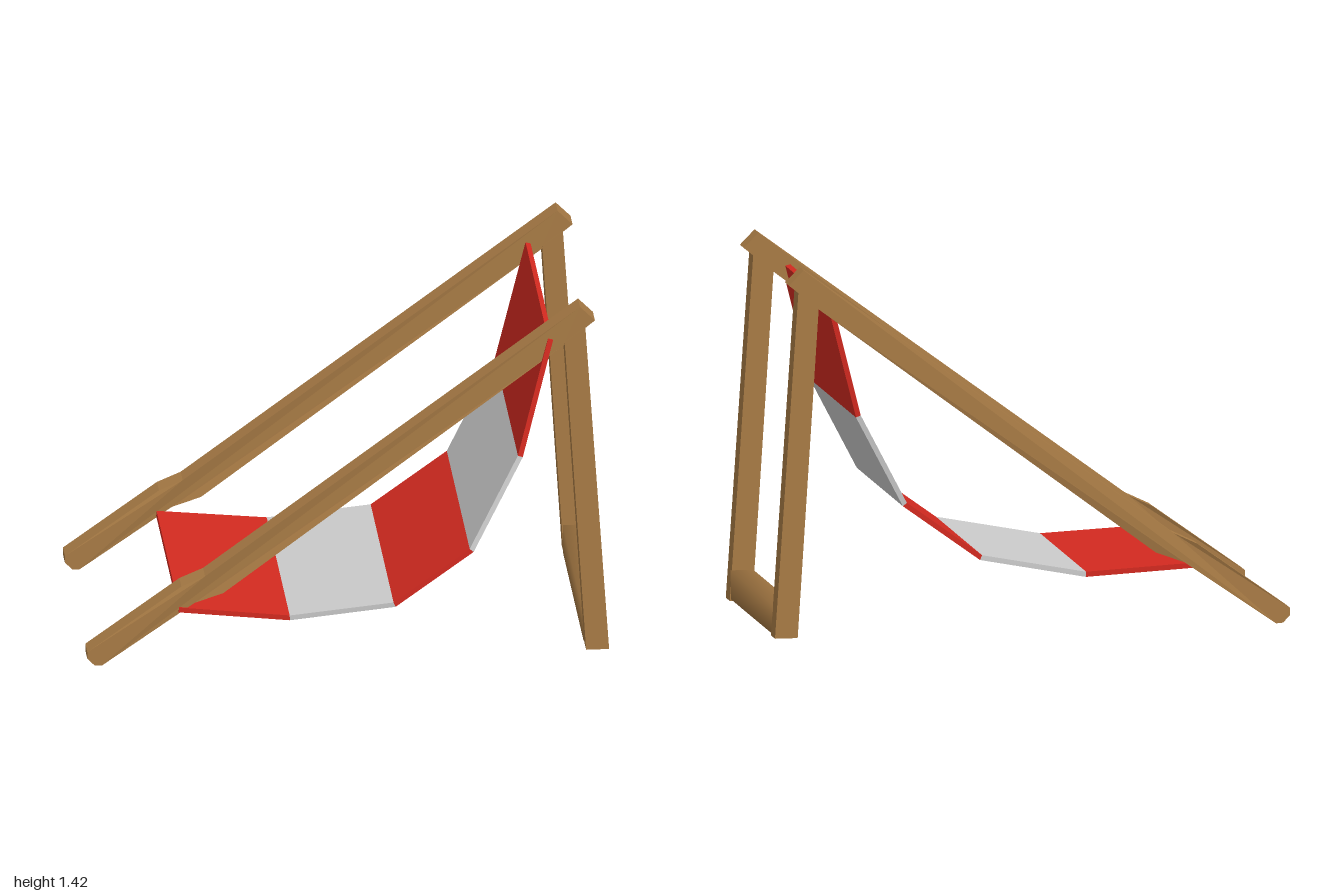
import * as THREE from 'three';
import { mergeVertices } from 'three/addons/utils/BufferGeometryUtils.js';

const wood = new THREE.MeshStandardMaterial({ color: 0xa87b45 });
const red = new THREE.MeshStandardMaterial({ color: 0xd42a20 });
const grey = new THREE.MeshStandardMaterial({ color: 0xcccccc });

// Extrude an x/y outline along z, starting at z0
function slab(points, z0, depth) {
  const shape = new THREE.Shape(points.map(([x, y]) => new THREE.Vector2(x, y)));
  const geo = new THREE.ExtrudeGeometry(shape, { depth, bevelEnabled: false });
  return geo.translate(0, 0, z0);
}

function part(name, geo, material, parent) {
  const mesh = new THREE.Mesh(geo, material);
  mesh.name = name;
  parent.add(mesh);
  return mesh;
}

// Long sloping side rail, with a knuckle near the foot
const railOutline = [
  [-0.945, 0.004], [-0.59, 0.25], [-0.48, 0.29], [0.82, 1.26], [0.905, 1.33],
  [0.942, 1.36], [0.885, 1.418], [-0.55, 0.362], [-0.64, 0.32],
  [-1, 0.062], [-1, 0.035], [-0.972, 0.006],
];
const legOutline = [[0.908, 0], [0.996, 0], [0.905, 1.335], [0.826, 1.275]];

// Centre line of the cloth: x, y, and its edges in z
const cloth = [
  [-0.65, 0.225, -0.488, 0.46],
  [-0.23, 0.196, -0.455, 0.507],
  [0.165, 0.262, -0.392, 0.57],
  [0.46, 0.475, -0.392, 0.57],
  [0.652, 0.83, -0.455, 0.507],
  [0.772, 1.29, -0.488, 0.46],
];

// Unit normal of the cloth at point i, averaged over its neighbours
function clothNormal(i) {
  const a = cloth[Math.max(i - 1, 0)], b = cloth[Math.min(i + 1, cloth.length - 1)];
  return new THREE.Vector2(a[1] - b[1], b[0] - a[0]).normalize();
}

// One stripe: a box whose corners are moved to the cloth's section
function stripe(i) {
  const geo = new THREE.BoxGeometry(1, 1, 1);
  const pos = geo.attributes.position;
  for (let v = 0; v < pos.count; v++) {
    const j = pos.getX(v) < 0 ? i : i + 1;
    const n = clothNormal(j).multiplyScalar(Math.sign(pos.getY(v)) * 0.01);
    const [x, y, back, front] = cloth[j];
    pos.setXYZ(v, x + n.x, y + n.y, pos.getZ(v) < 0 ? back : front);
  }
  geo.computeVertexNormals();
  return geo;
}

export function createModel() {
  const model = new THREE.Group();
  model.name = 'deckChair';

  // Side rails and rear legs
  for (const [side, z0] of [['left', 0.372], ['right', -0.57]]) {
    const rail = slab(railOutline, z0, 0.084);
    const pos = rail.attributes.position;
    // the rail steps sideways slightly at the knuckle
    for (let v = 0; v < pos.count; v++) {
      const x = pos.getX(v);
      if (x > -0.57) pos.setZ(v, pos.getZ(v) + 0.008 * (0.9 - x) / 1.45);
    }
    rail.computeVertexNormals();
    part(side + 'Rail', rail, wood, model);
    part(side + 'RearLeg', slab(legOutline, z0 + 0.003, 0.084), wood, model);
  }

  // Crossbar between the feet of the rear legs, shaded softly round
  let bar = new THREE.BoxGeometry(0.086, 0.112, 0.87);
  bar.deleteAttribute('normal');
  bar.deleteAttribute('uv');
  bar = mergeVertices(bar);
  bar.computeVertexNormals();
  part('crossbar', bar, wood, model).position.set(0.948, 0.062, -0.052);

  // Striped cloth seat
  const seat = new THREE.Group();
  seat.name = 'clothSeat';
  for (let i = 0; i < cloth.length - 1; i++) {
    part('stripe' + (i + 1), stripe(i), i % 2 ? grey : red, seat);
  }
  model.add(seat);
  return model;
}
